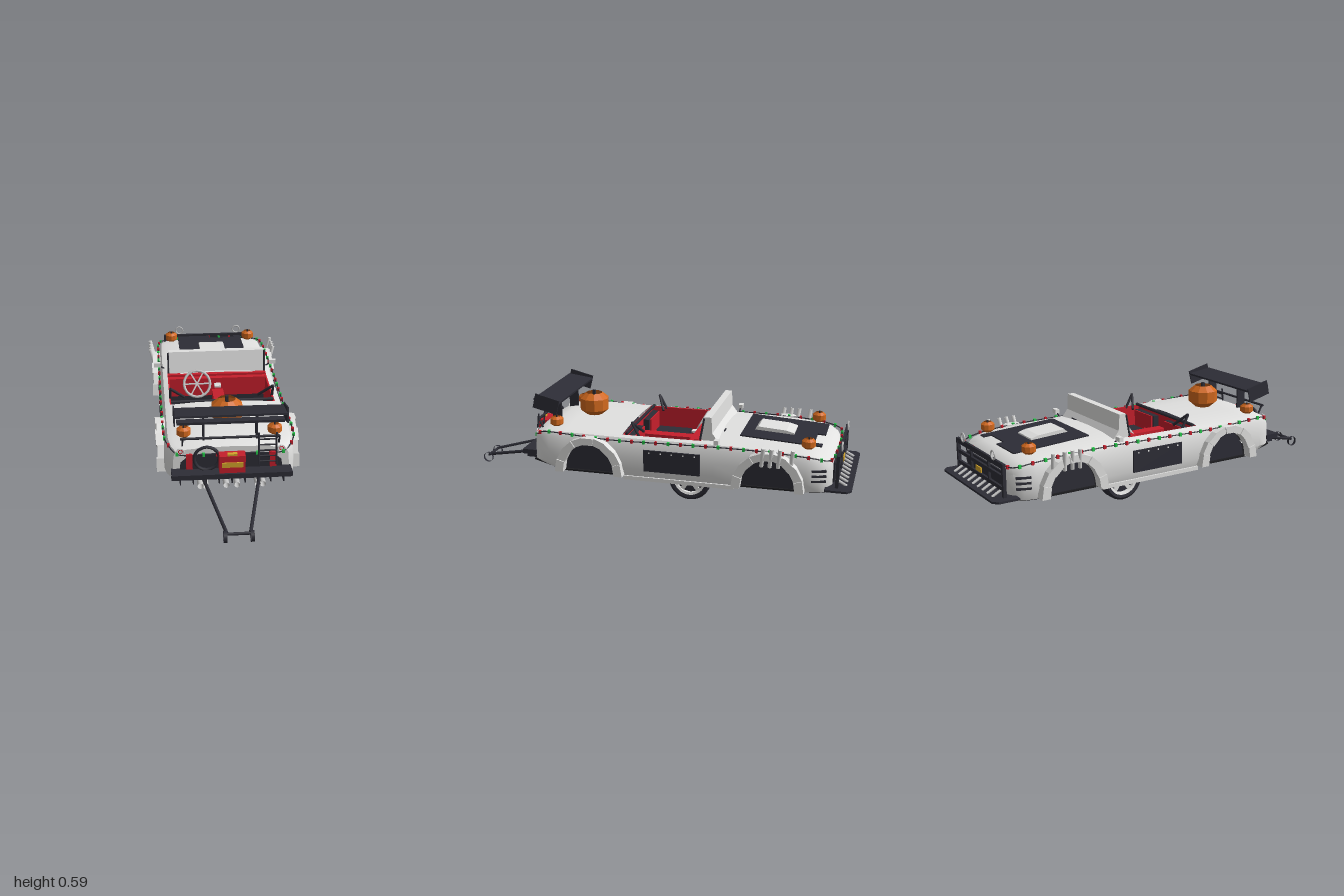
import * as THREE from 'three';
import { toCreasedNormals } from 'three/addons/utils/BufferGeometryUtils.js';

const mat = (name, color, side = THREE.FrontSide) => {
  const m = new THREE.MeshStandardMaterial({ color, side });
  m.name = name;
  return m;
};
const V = (x, y, z) => new THREE.Vector3(x, y, z);
const shape = (pts) => new THREE.Shape(pts.map((p) => new THREE.Vector2(...p)));
const slab = (pts, depth) => new THREE.ExtrudeGeometry(shape(pts), { depth, bevelEnabled: false });

export function createModel() {
  const car = new THREE.Group();
  const white = mat('bodyWhite', 0xe1e1e0, THREE.DoubleSide);
  const dark = mat('darkTrim', 0x2d2d36, THREE.DoubleSide);
  const black = mat('underbodyBlack', 0x1d1d20, THREE.DoubleSide);
  const red = mat('red', 0xc61f2c, THREE.DoubleSide);
  const orange = mat('pumpkinOrange', 0xd2691e, THREE.DoubleSide);
  const yellow = mat('plateYellow', 0xd4a52c);
  const green = mat('lightGreen', 0x26c84a);
  const metal = mat('metalGrey', 0xc4c4c4, THREE.DoubleSide);

  const add = (name, geo, m, x = 0, y = 0, z = 0) => {
    const mesh = new THREE.Mesh(geo, m);
    mesh.name = name;
    mesh.position.set(x, y, z);
    car.add(mesh);
    return mesh;
  };
  const box = (name, m, w, h, d, x, y, z) => add(name, new THREE.BoxGeometry(w, h, d), m, x, y, z);
  const rod = (name, m, r, a, b, sides = 6) => {
    const d = b.clone().sub(a), mid = a.clone().add(b).multiplyScalar(0.5);
    const mesh = add(name, new THREE.CylinderGeometry(r, r, d.length(), sides), m, mid.x, mid.y, mid.z);
    mesh.quaternion.setFromUnitVectors(V(0, 1, 0), d.normalize());
    return mesh;
  };
  const ring = (name, m, r, t, x, y, z) => add(name, new THREE.TorusGeometry(r, t, 6, 20), m, x, y, z);
  const faceted = (g) => { const n = g.toNonIndexed(); n.computeVertexNormals(); return n; };
  const lathe = (pts, seg) => new THREE.LatheGeometry(pts.map((p) => new THREE.Vector2(...p)), seg);
  const both = (fn) => [-1, 1].forEach(fn);

  // Body shell: [z, half width, shoulder height] sections, open over the cockpit and under the arches
  const spec = [[-0.9, 0.22, 0.342], [-0.88, 0.262, 0.363], [-0.84, 0.288, 0.382], [-0.78, 0.299, 0.394], [-0.6, 0.303, 0.405],
    [-0.33, 0.305, 0.412], [0.14, 0.306, 0.41], [0.45, 0.306, 0.414], [0.52, 0.304, 0.412], [0.57, 0.293, 0.402], [0.6, 0.27, 0.387]];
  const sample = (z) => {
    let i = 0;
    while (i < spec.length - 2 && z > spec[i + 1][0]) i++;
    const [a, b] = [spec[i], spec[i + 1]], k = (z - a[0]) / (b[0] - a[0]);
    return [1, 2].map((c) => a[c] + (b[c] - a[c]) * k);
  };
  const arches = [-0.602, 0.298], rx = 0.138, ry = 0.158, base = 0.205;
  const archY = (z) => Math.max(base + Math.max(0, z - 0.45) * 0.28,
    ...arches.map((c) => base + ry * Math.sqrt(Math.max(0, 1 - ((z - c) / rx) ** 2))));
  const zs = [...spec.map((s) => s[0]), -0.24, -0.05];
  arches.forEach((c) => { for (let k = 0; k <= 12; k++) zs.push(c - rx * Math.cos(k * Math.PI / 12)); });
  const stations = [...new Set(zs)].sort((a, b) => a - b);
  const pos = [], idx = [], N = 15;
  stations.forEach((z) => {
    const [w, t] = sample(z), yb = archY(z);
    const half = [[0.96, base], [1.01, 0.25], [1.005, Math.min(0.31, t - 0.04)], [0.99, t - 0.03], [0.95, t - 0.007],
      [0.87, t], [0.45, t + 0.009], [0, t + 0.012]].map(([x, y]) => [x * w, Math.max(y, yb)]);
    half.forEach(([x, y]) => pos.push(-x, y, z));
    half.slice(0, 7).reverse().forEach(([x, y]) => pos.push(x, y, z));
  });
  for (let i = 0; i < stations.length - 1; i++) {
    const open = stations[i] > -0.245 && stations[i + 1] < 0.145;
    for (let j = 0; j < N - 1; j++) {
      if (open && j >= 5 && j <= 8) continue;
      const a = i * N + j, c = a + N;
      idx.push(a, c, a + 1, a + 1, c, c + 1);
    }
  }
  const last = (stations.length - 1) * N;
  for (let j = 1; j < N - 1; j++) idx.push(0, j, j + 1, last, last + j + 1, last + j);
  const shell = new THREE.BufferGeometry();
  shell.setAttribute('position', new THREE.Float32BufferAttribute(pos, 3));
  shell.setIndex(idx);
  add('bodyShell', toCreasedNormals(shell, 0.6), white);

  // Underside plate following the body outline, sloped diffuser and wheel wells
  const floorSpec = spec.filter((s) => s[0] < 0.46);
  const outline = [...floorSpec.map(([z, w]) => [w * 0.95, z]), ...[...floorSpec].reverse().map(([z, w]) => [-w * 0.95, z])];
  add('underside', slab(outline, 0.008), black, 0, 0.21, 0).rotation.x = Math.PI / 2;
  box('diffuser', black, 0.56, 0.008, 0.165, 0, 0.224, 0.527).rotation.x = -0.27;
  arches.forEach((c) => {
    const well = add('wheelWell', new THREE.CylinderGeometry(1, 1, 0.55, 20, 1, false, 0, Math.PI), dark, 0, base, c);
    well.scale.set(ry + 0.001, 1, rx + 0.001);
    well.rotation.z = Math.PI / 2;
  });

  // Blocky wheel-arch flares
  arches.forEach((c) => both((s) => {
    const n = 9;
    for (let k = 0; k < n; k++) {
      const p = (f, a, b) => [Math.cos(f * Math.PI / n) * a, Math.sin(f * Math.PI / n) * b];
      const depth = k % 2 ? 0.042 : 0.048;
      const g = slab([p(k, 0.134, 0.154), p(k, 0.177, 0.19), p(k + 1, 0.177, 0.19), p(k + 1, 0.134, 0.154)], depth);
      add('archFlare', g, white, s > 0 ? 0.297 : -0.297 - depth, 0.212, c).rotation.y = Math.PI / 2;
    }
  }));

  // Doors, skirts, mirrors, side pipes and front vents
  both((s) => {
    box('doorPanel', dark, 0.008, 0.11, 0.285, s * 0.311, 0.3, -0.125);
    for (let k = 0; k < 5; k++) box('doorRivet', white, 0.004, 0.007, 0.007, s * 0.316, 0.343, -0.24 + k * 0.057);
    box('sideSkirt', white, 0.03, 0.02, 0.56, s * 0.288, 0.198, -0.155);
    box('mirror', white, 0.036, 0.022, 0.022, s * 0.317, 0.43, -0.35);
    rod('mirrorArm', dark, 0.004, V(s * 0.28, 0.408, -0.35), V(s * 0.31, 0.425, -0.35));
    [-0.57, -0.61, -0.65, -0.71].forEach((z) => rod('sidePipe', white, 0.01, V(s * 0.325, 0.33, z), V(s * 0.351, 0.43, z - 0.012), 8));
    for (let k = 0; k < 3; k++) box('frontVent', dark, 0.02, 0.01, 0.07, s * 0.283, 0.265 + k * 0.026, -0.84).rotation.y = s * 0.28;
  });

  // Windshield shell
  add('windshield', slab([[0.25, 0.405], [0.35, 0.405], [0.315, 0.45], [0.31, 0.53], [0.275, 0.53]], 0.51), white, -0.255, 0, 0).rotation.y = Math.PI / 2;
  both((s) => rod('windshieldEdge', dark, 0.005, V(s * 0.26, 0.41, -0.255), V(s * 0.26, 0.525, -0.275)));
  box('wiper', dark, 0.04, 0.004, 0.006, 0.12, 0.431, -0.352);

  // Interior
  box('cockpitFloor', dark, 0.53, 0.01, 0.39, 0, 0.25, -0.05);
  box('dashboard', red, 0.52, 0.1, 0.05, 0, 0.355, -0.222);
  box('dashTop', red, 0.53, 0.015, 0.035, 0, 0.409, -0.245);
  box('rearBulkhead', red, 0.52, 0.155, 0.01, 0, 0.328, 0.136);
  box('centreTunnel', red, 0.06, 0.09, 0.3, 0, 0.3, -0.04);
  box('tunnelSwitches', white, 0.035, 0.01, 0.05, 0, 0.372, -0.18);
  box('frontBulkhead', dark, 0.52, 0.16, 0.008, 0, 0.33, -0.243);
  both((s) => {
    box('doorLining', red, 0.012, 0.16, 0.38, s * 0.264, 0.328, -0.05);
    box('seatBase', dark, 0.18, 0.05, 0.18, s * 0.14, 0.285, -0.01);
    box('seatBack', red, 0.16, 0.1, 0.008, s * 0.14, 0.345, 0.085);
    box('seatBackShell', dark, 0.18, 0.12, 0.03, s * 0.14, 0.335, 0.106);
    add('seatWedge', slab([[s * 0.03, -0.005], [s * 0.03, 0.078], [s * 0.115, 0.075]], 0.006), red, 0, 0.322, 0).rotation.x = Math.PI / 2;
    rod('rollBrace', dark, 0.007, V(s * 0.262, 0.475, 0.09), V(s * 0.19, 0.41, 0.05));
    rod('rollPost', dark, 0.007, V(s * 0.262, 0.475, 0.09), V(s * 0.262, 0.4, 0.05));
  });
  rod('rollBar', dark, 0.008, V(-0.26, 0.415, 0.12), V(0.26, 0.415, 0.12));
  const steer = new THREE.Group();
  steer.name = 'steeringWheel';
  steer.add(new THREE.Mesh(new THREE.TorusGeometry(0.07, 0.007, 6, 20), metal));
  for (let k = 0; k < 3; k++) {
    const spoke = new THREE.Mesh(new THREE.BoxGeometry(0.14, 0.008, 0.005), metal);
    spoke.rotation.z = k * Math.PI / 3;
    steer.add(spoke);
  }
  steer.position.set(-0.11, 0.382, -0.18);
  steer.rotation.x = -0.5;
  car.add(steer);

  // Hood panel (built around a notch) and scoop
  const hood = [[-0.185, 0.84], [0, 0.84], [0, 0.8], [0.145, 0.8], [0.145, 0.84], [0.185, 0.84], [0.185, 0.44], [-0.185, 0.44]];
  add('hoodPanel', slab(hood, 0.006), dark, 0, 0.453, 0).rotation.x = -Math.PI / 2 - 0.06;
  add('hoodScoop', slab([[0.48, 0.415], [0.69, 0.41], [0.69, 0.425], [0.65, 0.436], [0.51, 0.446]], 0.14), white, -0.07, 0, 0).rotation.y = Math.PI / 2;

  // Pumpkins, hollow with a stem in the opening
  const pumpkin = (x, y, z, r) => {
    const g = lathe([[0.58, -0.77], [1.03, -0.4], [1.03, 0.4], [0.58, 0.77]].map(([a, b]) => [a * r, b * r]), 10);
    add('pumpkin', faceted(g), orange, x, y, z);
    box('pumpkinStem', dark, r * 0.2, r * 0.4, r * 0.2, x, y + r * 0.75, z);
  };
  pumpkin(0, 0.483, 0.375, 0.074);
  both((s) => { pumpkin(s * 0.225, 0.432, -0.78, 0.033); pumpkin(s * 0.215, 0.438, 0.505, 0.033); });

  // Rear wing
  box('wingBlade', dark, 0.52, 0.01, 0.135, 0, 0.549, 0.542).rotation.x = -0.13;
  box('wingSlat', dark, 0.5, 0.012, 0.04, 0, 0.515, 0.57);
  both((s) => {
    box('wingEndplate', dark, 0.006, 0.075, 0.13, s * 0.26, 0.535, 0.543).rotation.x = -0.24;
    box('wingStrut', dark, 0.008, 0.13, 0.05, s * 0.125, 0.475, 0.535);
  });

  // Rear end: panel, lamps, platform, can, ladder and tailpipes
  const panel = [[-0.24, 0.29], [0.24, 0.29], [0.235, 0.325], [0.2, 0.355], [0.14, 0.366], [-0.14, 0.366], [-0.2, 0.355], [-0.235, 0.325]];
  add('rearPanel', slab(panel, 0.008), dark, 0, 0, 0.6);
  box('rearPlatform', dark, 0.56, 0.024, 0.075, 0, 0.28, 0.635);
  for (let k = -4; k <= 4; k++) box('platformFin', dark, 0.005, 0.03, 0.06, k * 0.06, 0.255, 0.635);
  ring('spareHoop', dark, 0.058, 0.008, -0.115, 0.35, 0.618);
  box('fuelCan', red, 0.12, 0.085, 0.055, 0, 0.342, 0.648);
  box('canPlate', yellow, 0.1, 0.024, 0.006, 0, 0.342, 0.678);
  box('canCap', yellow, 0.045, 0.012, 0.02, 0, 0.388, 0.662);
  rod('rackBar', dark, 0.006, V(-0.235, 0.445, 0.6), V(0.225, 0.445, 0.6));
  both((s) => {
    box('tailLamp', red, 0.03, 0.075, 0.012, s * 0.195, 0.333, 0.613);
    ring('lampRing', white, 0.016, 0.003, s * 0.235, 0.38, 0.602);
    ring('lampRingInner', red, 0.009, 0.002, s * 0.235, 0.38, 0.602);
    rod('rackPost', dark, 0.005, V(s * 0.225, 0.395, 0.575), V(s * 0.225, 0.445, 0.6));
    [0.025, 0.122, 0.146].forEach((x) => add('tailpipe', new THREE.CylinderGeometry(0.014, 0.014, 0.12, 14, 1, true), metal, s * x, 0.219, 0.585).rotation.x = Math.PI / 2);
  });
  [0.127, 0.21].forEach((x) => rod('ladderRail', dark, 0.005, V(x, 0.31, 0.622), V(x, 0.465, 0.605)));
  for (let k = 0; k < 5; k++) rod('ladderRung', dark, 0.004, V(0.127, 0.325 + k * 0.027, 0.62 - k * 0.003), V(0.21, 0.325 + k * 0.027, 0.62 - k * 0.003));

  // Tow frame
  both((s) => {
    rod('towArm', dark, 0.008, V(s * 0.135, 0.248, 0.6), V(s * 0.052, 0.16, 0.97));
    add('towRing', new THREE.CylinderGeometry(0.026, 0.026, 0.016, 16, 1, true), dark, s * 0.06, 0.146, 0.974).rotation.z = Math.PI / 2;
  });
  rod('towCrossbar', dark, 0.007, V(-0.06, 0.158, 0.97), V(0.06, 0.158, 0.97));

  // Nose: grille, splitter with struts, bull bar and lamp hoops
  box('grille', dark, 0.4, 0.1, 0.012, 0, 0.288, -0.902);
  box('frontPlate', yellow, 0.06, 0.025, 0.006, 0, 0.3, -0.934);
  const splitter = [[-0.305, -0.87], [-0.305, -0.975], [-0.28, -0.998], [0.28, -0.998], [0.305, -0.975], [0.305, -0.87]];
  add('splitter', slab(splitter, 0.01), dark, 0, 0.232, 0).rotation.x = Math.PI / 2;
  for (let k = -4; k <= 4; k++) rod('splitterStrut', metal, 0.007, V(k * 0.055, 0.232, -0.97), V(k * 0.055, 0.262, -0.915));
  [[0.27, 0.018], [0.325, 0.018], [0.378, 0.026]].forEach(([y, h]) => box('bullBarRail', dark, 0.53, h, 0.012, 0, y, -0.925));
  both((s) => {
    box('bullBarPost', dark, 0.016, 0.16, 0.016, s * 0.258, 0.31, -0.925);
    box('bullBarInnerPost', dark, 0.012, 0.1, 0.012, s * 0.1, 0.315, -0.925);
    ring('lampHoop', metal, 0.021, 0.004, s * 0.172, 0.412, -0.935);
  });

  // String of lights around the car
  const side = [[0.12, 0.367, 0.612], [0.25, 0.368, 0.602], [0.296, 0.402, 0.55], [0.308, 0.404, 0.45], [0.31, 0.392, 0.2], [0.31, 0.396, -0.1],
    [0.308, 0.4, -0.4], [0.306, 0.395, -0.65], [0.299, 0.383, -0.8], [0.27, 0.368, -0.885], [0.12, 0.37, -0.908]];
  const loop = new THREE.CatmullRomCurve3([...side.map((p) => V(...p)), ...[...side].reverse().map(([x, y, z]) => V(-x, y, z))], true);
  add('lightCable', new THREE.TubeGeometry(loop, 160, 0.003, 5, true), dark);
  for (let k = 0; k < 66; k++) {
    const p = loop.getPointAt(k / 66);
    box('fairyLight', k % 2 ? red : green, 0.012, 0.017, 0.012, p.x, p.y, p.z);
  }

  // Single wheel below the floor
  const wheel = new THREE.Group();
  wheel.name = 'wheel';
  const part = (name, g, m) => { const o = new THREE.Mesh(g, m); o.name = name; wheel.add(o); return o; };
  part('tyre', faceted(lathe([[0.085, -0.031], [0.1, -0.034], [0.112, -0.026], [0.112, 0.026], [0.1, 0.034], [0.085, 0.031]], 28)), dark);
  part('rim', toCreasedNormals(lathe([[0.073, -0.026], [0.087, -0.031], [0.087, 0.031], [0.073, 0.026], [0.073, -0.026]], 28), 0.6), white);
  part('brakeDisc', new THREE.CylinderGeometry(0.074, 0.074, 0.02, 24), dark);
  part('hub', new THREE.CylinderGeometry(0.02, 0.02, 0.046, 12), white);
  for (let k = 0; k < 5; k++) {
    const a = k * Math.PI * 0.4, spoke = part('spoke', new THREE.BoxGeometry(0.064, 0.036, 0.022), white);
    spoke.position.set(Math.cos(a) * 0.046, 0, Math.sin(a) * 0.046);
    spoke.rotation.y = -a;
  }
  wheel.rotation.z = Math.PI / 2;
  wheel.position.set(0, 0.112, -0.15);
  car.add(wheel);
  return car;
}
